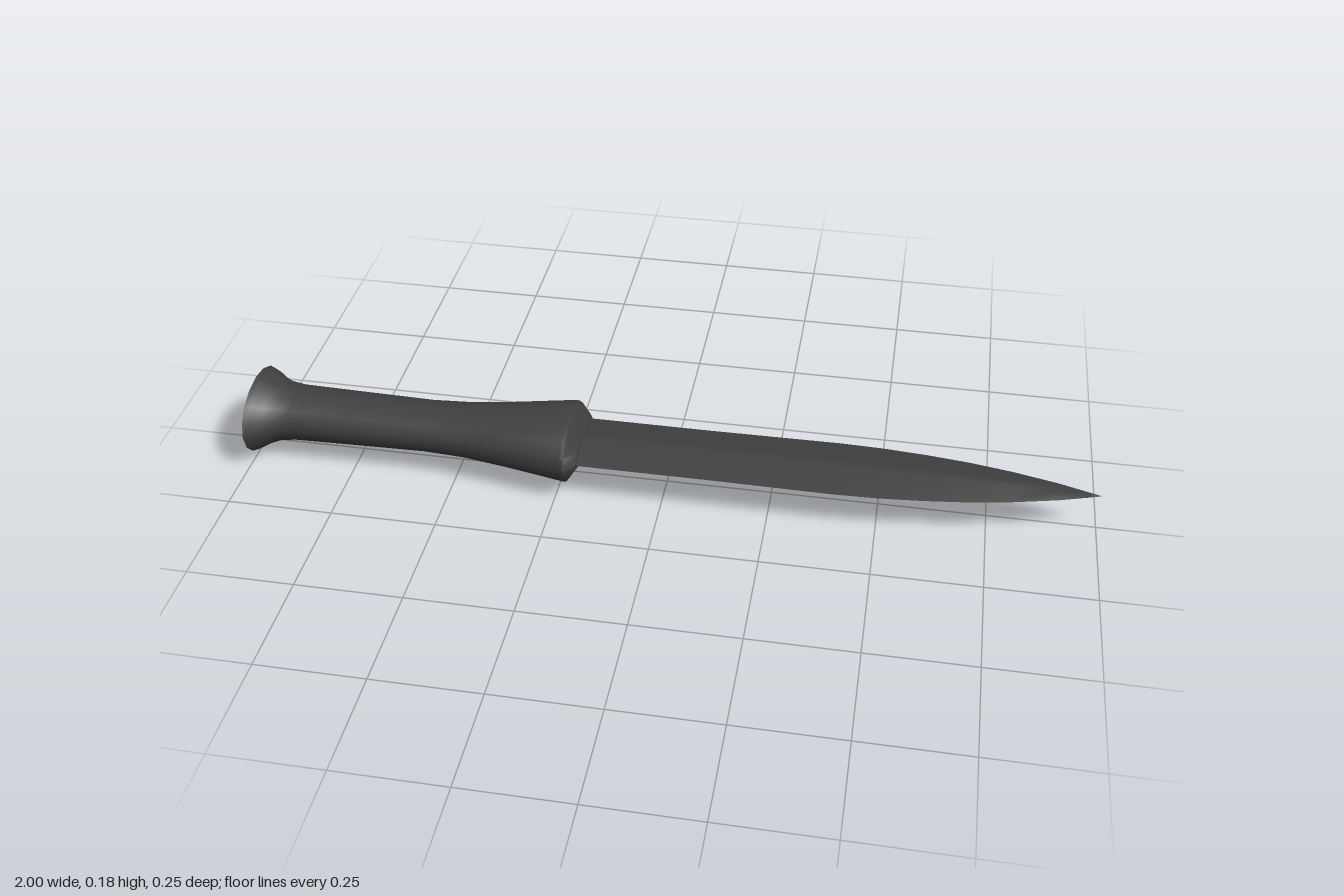
import * as THREE from 'three';
import { toCreasedNormals } from 'three/addons/utils/BufferGeometryUtils.js';

const AXIS_Y = 0.092;

// Skins a unit outline [y, z] along x; each station is [x, halfHeight, halfWidth]
function loft(outline, stations) {
  const n = outline.length, pos = [], index = [];
  for (const [x, h, w] of stations)
    for (const [y, z] of outline) pos.push(x, y * h, z * w);
  for (let i = 0; i < stations.length - 1; i++)
    for (let j = 0; j < n; j++) {
      const a = i * n + j, b = i * n + (j + 1) % n;
      index.push(a, b, a + n, b, b + n, a + n);
    }
  // flat end caps
  const last = (stations.length - 1) * n, c = stations.length * n;
  pos.push(stations[0][0], 0, 0, stations.at(-1)[0], 0, 0);
  for (let j = 0; j < n; j++) {
    const k = (j + 1) % n;
    index.push(c, k, j, c + 1, last + j, last + k);
  }
  const geo = new THREE.BufferGeometry();
  geo.setAttribute('position', new THREE.Float32BufferAttribute(pos, 3));
  geo.setIndex(index);
  return toCreasedNormals(geo, 0.85);
}

export function createModel() {
  const group = new THREE.Group();
  group.name = 'dagger';
  const material = new THREE.MeshStandardMaterial({ color: 0x404040 });
  const add = (name, geo) => {
    const mesh = new THREE.Mesh(geo, material);
    mesh.name = name;
    mesh.position.y = AXIS_Y;
    group.add(mesh);
  };

  // Oval grip with flared pommel and swelling shoulder
  const oval = Array.from({ length: 16 }, (_, i) => {
    const a = (i / 16) * Math.PI * 2;
    return [Math.cos(a), Math.sin(a)];
  });
  add('handle', loft(oval, [
    [-1, 0.092, 0.124], [-0.985, 0.087, 0.117], [-0.96, 0.073, 0.098],
    [-0.935, 0.064, 0.085], [-0.9, 0.06, 0.079], [-0.75, 0.056, 0.078],
    [-0.58, 0.052, 0.077], [-0.48, 0.055, 0.083], [-0.38, 0.063, 0.099],
    [-0.235, 0.079, 0.123], [-0.225, 0.078, 0.122], [-0.2, 0.03, 0.098],
  ]));

  // Double-edged blade with a softly rounded central ridge
  const diamond = [
    [1, 0], [0.85, 0.2], [0, 1], [-0.85, 0.2],
    [-1, 0], [-0.85, -0.2], [0, -1], [0.85, -0.2],
  ];
  add('blade', loft(diamond, [
    [-0.22, 0.021, 0.094], [0.1, 0.021, 0.094], [0.4, 0.02, 0.097],
    [0.5, 0.02, 0.094], [0.6, 0.019, 0.086], [0.7, 0.018, 0.074],
    [0.8, 0.015, 0.056], [0.9, 0.009, 0.032], [0.97, 0.004, 0.01],
    [1, 0.0005, 0.0005],
  ]));
  return group;
}
